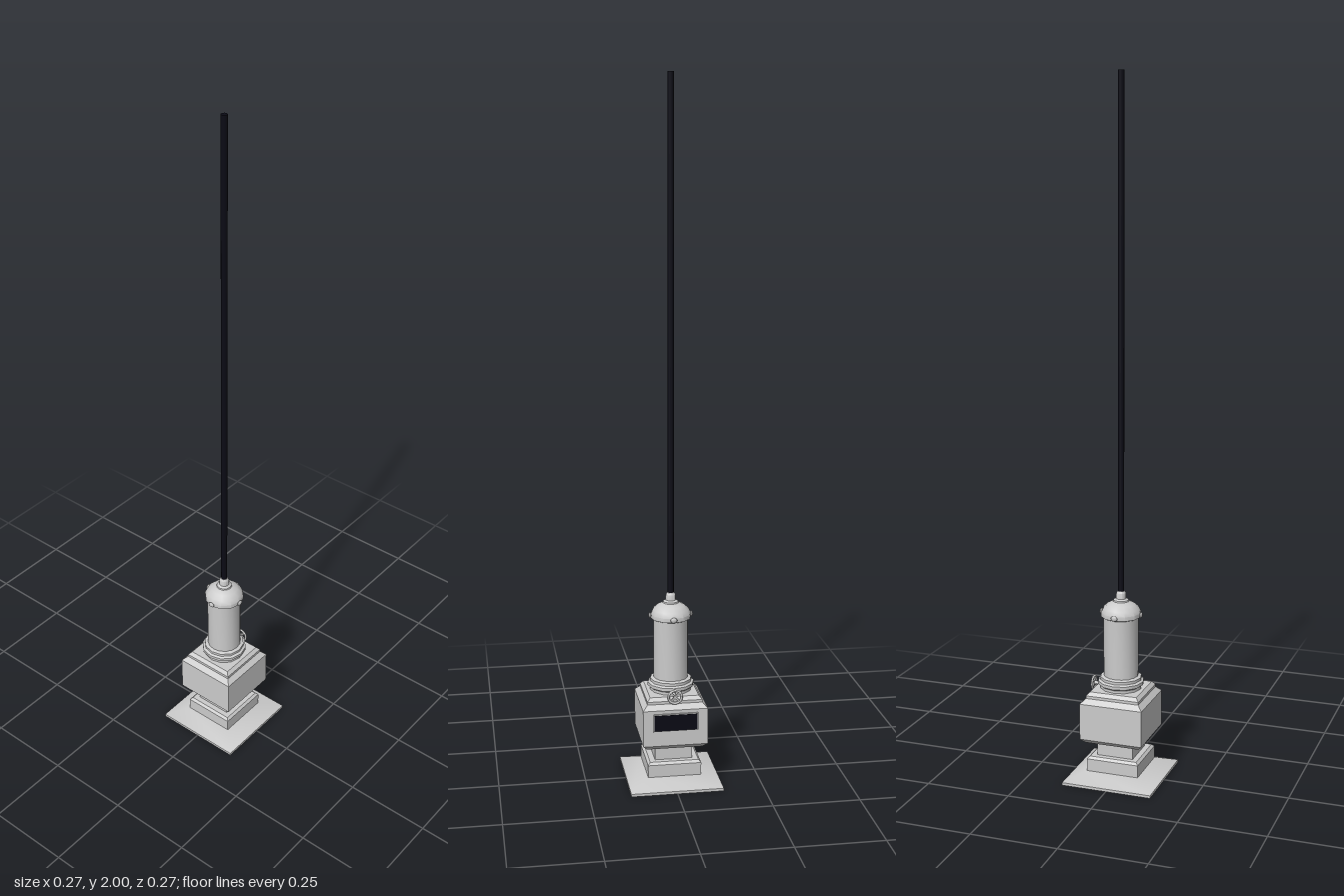
import * as THREE from 'three';
import { toCreasedNormals } from 'three/addons/utils/BufferGeometryUtils.js';

const grey = new THREE.MeshStandardMaterial({ color: 0xcccccc });
const dark = new THREE.MeshStandardMaterial({ color: 0x0a0a14 });

export function createModel() {
  const model = new THREE.Group();

  function add(name, geometry, material = grey, x = 0, y = 0, z = 0, parent = model) {
    const mesh = new THREE.Mesh(geometry, material);
    mesh.name = name;
    mesh.position.set(x, y, z);
    parent.add(mesh);
    return mesh;
  }

  // Profiles are [radius or half width, height], from the bottom up
  function turned(profile, sides, start = 0) {
    const points = profile.map(([r, y]) => new THREE.Vector2(r, y));
    return toCreasedNormals(new THREE.LatheGeometry(points, sides, start), 0.6);
  }
  const squared = (profile) =>
    turned(profile.map(([h, y]) => [h * Math.SQRT2, y]), 4, Math.PI / 4);

  // Square foot, plinth and neck
  add('basePlate', squared([[0, 0], [0.133, 0], [0.133, 0.008], [0.08, 0.03], [0, 0.03]]));
  add('plinth', squared([[0, 0.028], [0.077, 0.028], [0.077, 0.066], [0.07, 0.073], [0, 0.073]]));
  add('neck', squared([[0.054, 0.07], [0.054, 0.108], [0.063, 0.115], [0.063, 0.122]]));

  // Chamfered square housing with a stepped top
  add('housing', squared([
    [0, 0.117], [0.08, 0.117], [0.093, 0.13], [0.093, 0.236], [0.079, 0.25],
    [0.079, 0.258], [0.07, 0.268], [0, 0.268],
  ]));

  // Round column with its collar
  add('collar', turned([
    [0.06, 0.266], [0.06, 0.276], [0.067, 0.281], [0.067, 0.29],
    [0.06, 0.294], [0.06, 0.302], [0.049, 0.306],
  ], 12));
  add('column', turned([[0.05, 0.3], [0.05, 0.485]], 16));

  // Domed cap
  add('cap', turned([
    [0.049, 0.478], [0.058, 0.482], [0.058, 0.494], [0.052, 0.507], [0.04, 0.518],
    [0.024, 0.526], [0, 0.528],
  ], 12));
  add('rodSocket', turned([
    [0.024, 0.523], [0.022, 0.53], [0.015, 0.534], [0.014, 0.55], [0.01, 0.556], [0, 0.556],
  ], 12));

  // Four flattened bolts around the cap
  const bolts = new THREE.Group();
  bolts.name = 'capBolts';
  model.add(bolts);
  for (let i = 0; i < 4; i++) {
    const a = (i * Math.PI) / 2;
    const bolt = add('capBolt', new THREE.SphereGeometry(0.01, 10, 6), grey,
      0.06 * Math.sin(a), 0.49, 0.06 * Math.cos(a), bolts);
    bolt.scale.set(1, 0.8, 0.4);
    bolt.rotation.y = a;
  }

  // Long dark rod
  add('rod', new THREE.CylinderGeometry(0.009, 0.009, 1.455, 12), dark, 0, 1.2725, 0);

  // Side panel with dark window
  add('panelFrame', new THREE.BoxGeometry(0.008, 0.05, 0.128), grey, 0.095, 0.201, 0);
  add('panelWindow', new THREE.BoxGeometry(0.002, 0.046, 0.124), dark, 0.0993, 0.201, 0);

  // Valve with a spoked handwheel on the left side
  const valve = new THREE.Group();
  valve.name = 'valve';
  valve.position.set(0.083, 0.271, 0);
  model.add(valve);
  const stem = add('valveStem', new THREE.CylinderGeometry(0.005, 0.005, 0.04, 10), grey, -0.016, 0, 0, valve);
  stem.rotation.z = Math.PI / 2;
  const wheel = add('valveWheel', new THREE.TorusGeometry(0.019, 0.0035, 6, 16), grey, 0, 0, 0, valve);
  wheel.rotation.y = Math.PI / 2;
  for (const side of [-1, 1]) {
    const spoke = add('valveSpoke', new THREE.BoxGeometry(0.004, 0.038, 0.005), grey, 0, 0, 0, valve);
    spoke.rotation.x = (side * Math.PI) / 4;
  }

  return model;
}
